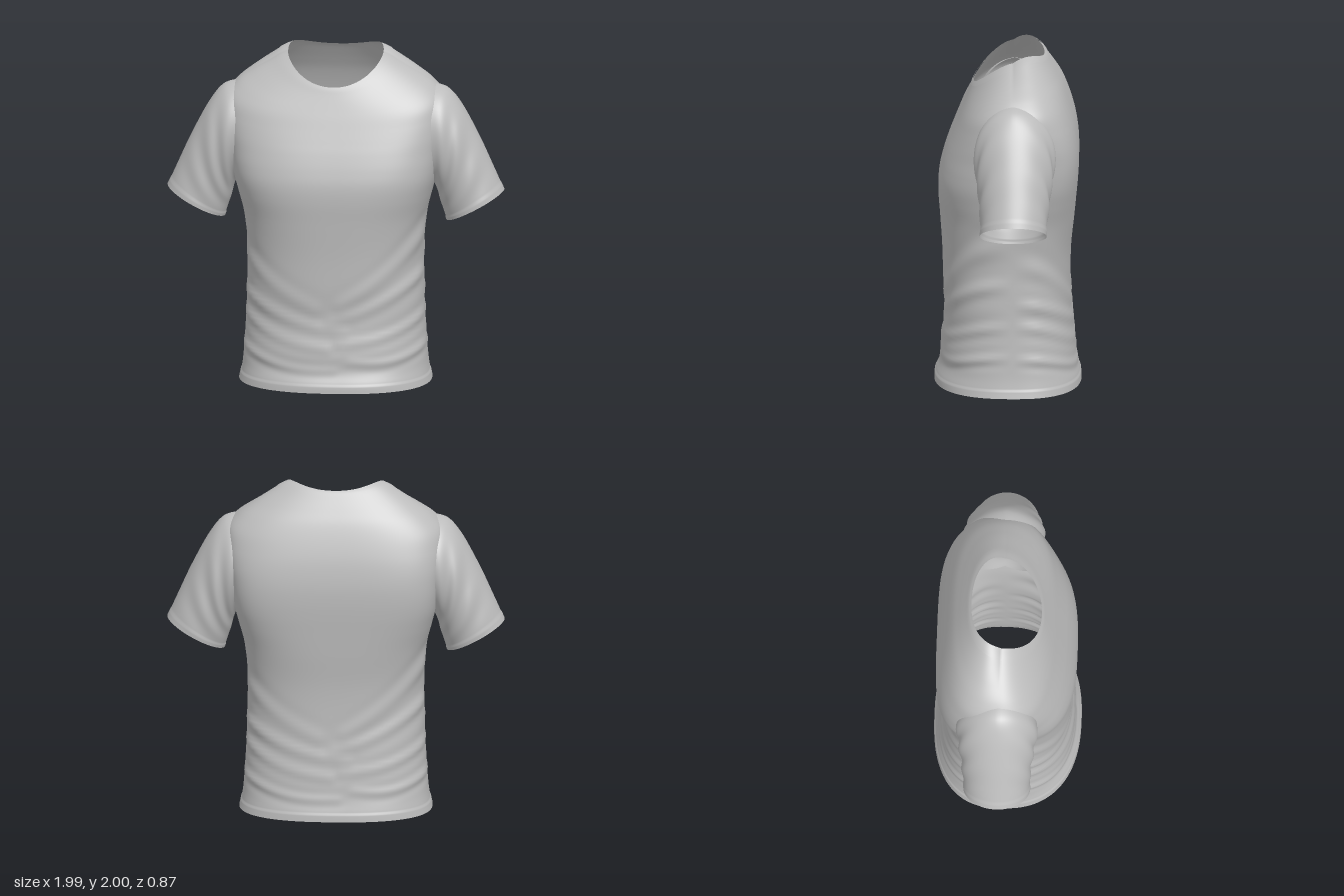
import * as THREE from 'three';

const fabric = new THREE.MeshStandardMaterial({ color: 0xbcbcbc, side: THREE.DoubleSide });
fabric.name = 'grey cotton';

// Level sections from hem to chest: y | half width | z front, z back
const TRUNK = [
  [0, .565, .43, -.43],
  [.05, .555, .425, -.425],
  [.12, .545, .40, -.41],
  [.22, .538, .397, -.40],
  [.4, .527, .376, -.383],
  [.6, .522, .382, -.37],
  [.8, .52, .387, -.372],
  [1, .537, .4, -.392],
  [1.14, .57, .41, -.405],
  [1.24, .595, .406, -.414],
  [1.33, .61, .386, -.419],
  [1.42, .622, .357, -.418],
];

// Tilted sections over the shoulders: y at front, side, back | half width | z front, z back
const YOKE = [
  [1.49, 1.52, 1.51, .637, .33, -.408],
  [1.56, 1.63, 1.6, .645, .302, -.39],
  [1.62, 1.725, 1.7, .635, .278, -.36],
  [1.67, 1.795, 1.79, .575, .257, -.325],
  [1.715, 1.855, 1.86, .485, .238, -.287],
  [1.755, 1.91, 1.92, .39, .221, -.25],
  [1.783, 1.948, 1.953, .325, .209, -.228],
  [1.80, 1.968, 1.967, .282, .2, -.215],
];
const BODY = TRUNK.map(([y, ...rest]) => [y, y, y, ...rest]).concat(YOKE);

// Sleeve sections from armhole to cuff:
// top x, y | underarm x, y | z front, z back | how far the front and back sit inward
const SLEEVE = [
  [.57, 1.785, .51, 1.21, .185, -.265, .09],
  [.665, 1.755, .575, 1.2, .197, -.282, .03],
  [.748, 1.65, .60, 1.15, .183, -.268, 0],
  [.85, 1.46, .615, 1.09, .168, -.252, 0],
  [.93, 1.285, .635, 1.03, .16, -.24, 0],
  [.992, 1.145, .655, .966, .158, -.231, 0],
];

// Drape creases on the body: start x, y, end x, y, depth, width
const CREASES = [
  [.57, .95, .06, .52, .012, .035], [.55, .69, 0, .42, .011, .03],
  [-.57, .83, -.1, .5, .011, .035], [-.56, .57, .08, .36, .011, .028],
  [-.56, .44, -.02, .26, .01, .026], [.57, .44, .05, .29, .01, .026],
  [-.57, .24, .02, .13, .009, .024], [.57, .25, .12, .18, .009, .024],
];

// Smooth interpolation through a table of sections
function sample(rows, t) {
  const last = rows.length - 1;
  const i = Math.min(Math.floor(t), last - 1), f = t - i;
  const [p, q, r, s] = [Math.max(i - 1, 0), i, i + 1, Math.min(i + 2, last)].map(k => rows[k]);
  return q.map((b, k) => b + .5 * f * (r[k] - p[k] + f * (2 * p[k] - 5 * b + 4 * r[k] - s[k]
    + f * (3 * (b - r[k]) + s[k] - p[k]))));
}

// Soft ridges along the crease segments
function drape(x, y) {
  let sum = 0;
  for (const [x0, y0, x1, y1, depth, width] of CREASES) {
    const dx = x1 - x0, dy = y1 - y0;
    const k = THREE.MathUtils.clamp(((x - x0) * dx + (y - y0) * dy) / (dx * dx + dy * dy), 0, 1);
    const bow = .04 * Math.sin(Math.PI * k);
    const d = Math.hypot(x - x0 - k * dx, y - y0 - k * dy + bow) / width;
    sum += depth * (Math.exp(-d * d) - .5 * Math.exp(-(d - 1.8) * (d - 1.8))) * (1 - .7 * k);
  }
  return sum;
}

// Point on the body for section t and angle u; squarest at the chest, nearly oval at the neck
function bodyPoint(t, u, lift = 0) {
  const [yF, yS, yB, a, zF, zB] = sample(BODY, t);
  const c = Math.cos(u), s = Math.sin(u), front = s > 0, zc = -.03;
  const chest = Math.exp(-Math.pow((yS - 1.38) / .35, 2));
  const neck = THREE.MathUtils.smoothstep(yS, 1.75, 1.96);
  const n = (front ? 2.4 + .65 * chest : 2.5 + 1.5 * chest) - .35 * neck;
  const r = Math.pow(Math.pow(Math.abs(c), n) + Math.pow(Math.abs(s), n), -1 / n);
  const depth = front ? zF - zc : zc - zB;
  const q = Math.abs(s) * r;
  // The neckline is highest just behind the shoulder seam
  const crest = front ? 0 : .14 * neck * q * (1 - q);
  const y = yS + ((front ? yF : yB) - yS) * Math.pow(q, 1.5) + crest;
  const x = a * c * r;
  const hem = y < .045 ? .004 : 0;
  const out = lift + hem + drape(front ? x : -x, y) * Math.min(1, Math.abs(s) * 2.5);
  return [x + c * out, y, zc + depth * s * r + s * out];
}

// Point on the left sleeve, with ripples on front and back and a stitched cuff
function sleevePoint(t, u) {
  const [tx, ty, bx, by, zF, zB, inset] = sample(SLEEVE, t);
  const c = Math.cos(u), s = Math.sin(u), zc = -.035;
  const k = t / (SLEEVE.length - 1);
  const ripple = .006 * Math.sin(t * 5.2 + c * 4 + (s > 0 ? 0 : 1.3)) * s * s * Math.sin(Math.PI * k);
  const cuff = k > .93 ? .003 : 0;
  const g = 1 + (ripple + cuff) / .2;
  return [
    (tx + bx) / 2 + (tx - bx) / 2 * c * g - inset * Math.abs(s),
    (ty + by) / 2 + (ty - by) / 2 * c * g,
    zc + (s > 0 ? zF - zc : zc - zB) * s * g,
  ];
}

// Closed loops of points joined into a sheet; skip() leaves out faces
function loft(name, point, t0, t1, rows, cols, flip, skip = () => false) {
  const pos = [], index = [];
  for (let j = 0; j <= rows; j++)
    for (let i = 0; i < cols; i++)
      pos.push(...point(t0 + (t1 - t0) * j / rows, i / cols * Math.PI * 2));
  for (let j = 0; j < rows; j++)
    for (let i = 0; i < cols; i++) {
      const a = j * cols + i, b = j * cols + (i + 1) % cols, c = a + cols, d = b + cols;
      if (skip(pos[a * 3], pos[a * 3 + 1], pos[a * 3 + 2])) continue;
      if (flip) index.push(a, c, b, b, c, d);
      else index.push(a, b, c, b, d, c);
    }
  const geo = new THREE.BufferGeometry();
  geo.setAttribute('position', new THREE.Float32BufferAttribute(pos, 3));
  geo.setIndex(index);
  geo.computeVertexNormals();
  const mesh = new THREE.Mesh(geo, fabric);
  mesh.name = name;
  return mesh;
}

export function createModel() {
  const shirt = new THREE.Group();
  shirt.name = 'shirt';
  const top = BODY.length - 1;

  // Body, with armholes left open inside the sleeves
  const armhole = (x, y, z) =>
    Math.abs(x) > .5 && Math.hypot((y - 1.47) / .23, (z + .04) / .165) < 1;
  shirt.add(loft('body', bodyPoint, 0, top, 152, 160, true, armhole));

  // Neckband, slightly raised
  shirt.add(loft('neckband', (t, u) => bodyPoint(t, u, .006), top - 1.3, top, 8, 160, true));

  // Sleeves, mirrored
  for (const side of [1, -1]) {
    const point = (t, u) => {
      const [x, y, z] = sleevePoint(t, u);
      return [x * side, y, z];
    };
    shirt.add(loft(side > 0 ? 'leftSleeve' : 'rightSleeve', point, 0, SLEEVE.length - 1, 60, 80, side < 0));
  }
  return shirt;
}
